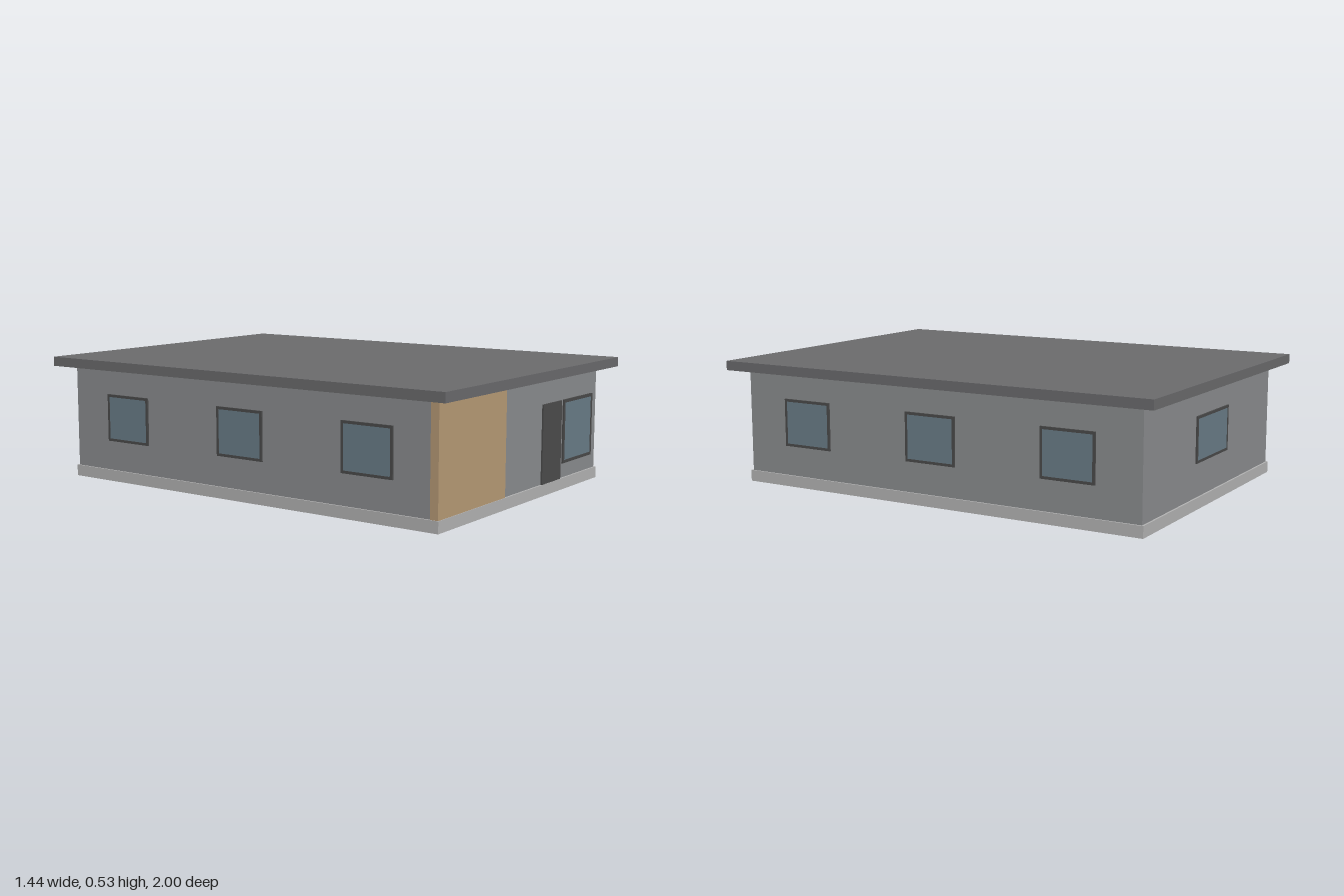
import * as THREE from 'three';

const mat = (color) => new THREE.MeshStandardMaterial({ color });

export function createModel() {
  const house = new THREE.Group();
  house.name = 'house';
  const wallMat = mat(0x8b8d8f), roofMat = mat(0x6b6b6d), baseMat = mat(0xb4b4b4);
  const woodMat = mat(0xb89b76), frameMat = mat(0x4a4a4a), doorMat = mat(0x4c4c4c), glassMat = mat(0x6a7d88);

  // Box given by its lower and upper corners
  function box(name, material, [x0, y0, z0], [x1, y1, z1], parent = house) {
    const mesh = new THREE.Mesh(new THREE.BoxGeometry(x1 - x0, y1 - y0, z1 - z0), material);
    mesh.position.set((x0 + x1) / 2, (y0 + y1) / 2, (z0 + z1) / 2);
    mesh.name = name;
    parent.add(mesh);
    return mesh;
  }

  // Window facing +z around its own centre: mitred frame ring with a glass pane
  function addWindow(name, w, h, position, turn, border = 0.011) {
    const win = new THREE.Group();
    win.name = name;
    const rect = (path, a, b) => path.moveTo(-a, -b).lineTo(a, -b).lineTo(a, b).lineTo(-a, b).closePath();
    const outline = rect(new THREE.Shape(), w / 2, h / 2);
    const a = w / 2 - border, b = h / 2 - border;
    outline.holes.push(rect(new THREE.Path(), a, b));
    const frame = new THREE.Mesh(
      new THREE.ExtrudeGeometry(outline, { depth: 0.012, bevelEnabled: false }), frameMat);
    frame.position.z = -0.005;
    frame.name = 'windowFrame';
    win.add(frame);
    box('windowGlass', glassMat, [-a, -b, -0.004], [a, b, 0.006], win);
    win.position.set(...position);
    win.rotation.y = turn;
    house.add(win);
  }

  // Main volumes
  box('foundation', baseMat, [-0.657, 0, -0.938], [0.657, 0.048, 0.938]);
  box('walls', wallMat, [-0.65, 0.048, -0.93], [0.65, 0.49, 0.93]);
  box('roof', roofMat, [-0.72, 0.49, -1], [0.72, 0.53, 1]);

  // Front facade
  box('woodCladding', woodMat, [-0.654, 0.048, 0.9], [-0.157, 0.49, 0.935]);
  box('frontDoor', doorMat, [0.15, 0.048, 0.92], [0.315, 0.38, 0.937]);
  addWindow('frontWindow', 0.27, 0.27, [0.47, 0.245, 0.93], 0, 0.013);

  // Rear and side windows
  addWindow('backWindow', 0.325, 0.19, [0, 0.283, -0.93], Math.PI);
  for (const side of [-1, 1]) {
    for (const z of [-0.62, 0, 0.62]) {
      addWindow('sideWindow', 0.235, 0.203, [side * 0.65, 0.277, z], side * Math.PI / 2);
    }
  }
  return house;
}
